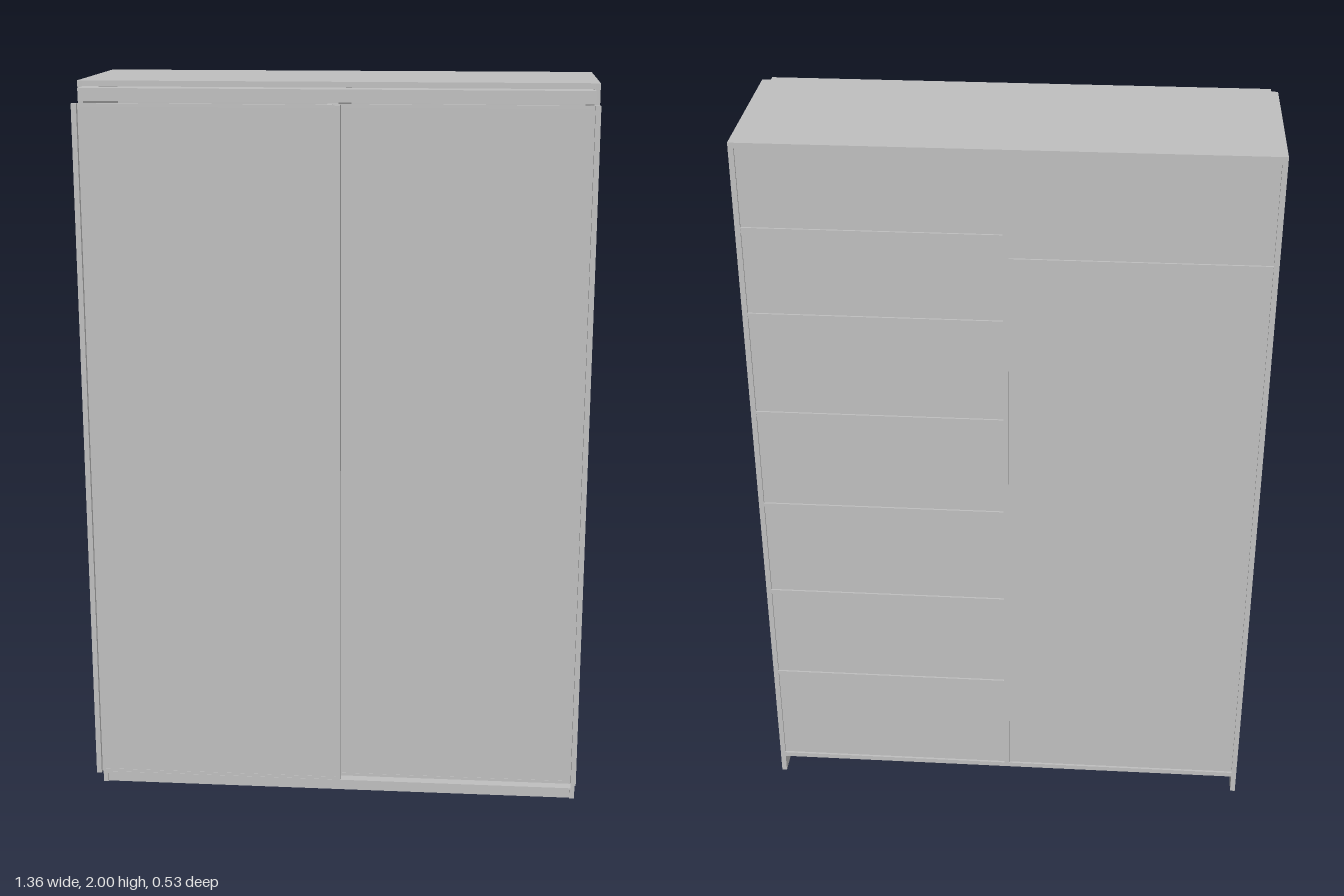
import * as THREE from 'three';

export function createModel() {
  const model = new THREE.Group();
  model.name = 'slidingDoorWardrobe';
  const grey = new THREE.MeshStandardMaterial({ color: 0xc0c0c0 });
  grey.name = 'light grey';

  // Box given by its limits along each axis
  function board(name, [x0, x1], [y0, y1], [z0, z1], parent = model) {
    const mesh = new THREE.Mesh(new THREE.BoxGeometry(x1 - x0, y1 - y0, z1 - z0), grey);
    mesh.position.set((x0 + x1) / 2, (y0 + y1) / 2, (z0 + z1) / 2);
    mesh.name = name;
    parent.add(mesh);
  }

  const W = 0.678, T = 0.014, inner = W - T;
  const back = -0.267, front = 0.184;
  const depth = [back, front], base = 0.055;

  // Carcass
  board('leftSide', [inner, W], [0, 2], depth);
  board('rightSide', [-W, -inner], [0, 2], depth);
  board('top', [-inner, inner], [2 - T, 2], depth);
  board('bottom', [-inner, inner], [base, base + T], depth);
  board('divider', [-T / 2, T / 2], [base + T, 2 - T], depth);
  board('backPanel', [-inner, inner], [base + T, 2 - T], [back + 0.006, back + 0.012]);
  board('plinth', [-inner, inner], [0, base], [front - T - 0.004, front - 0.004]);

  // Shelves: a full column on the left, one hat shelf on the right
  for (const y of [1.768, 1.529, 1.238, 0.949, 0.658, 0.369]) {
    board('shelf', [T / 2, inner], [y - T / 2, y + T / 2], [back + 0.001, front - 0.004]);
  }
  board('hatShelf', [-inner, -T / 2], [1.697, 1.697 + T], [back + 0.001, front - 0.004]);

  // Sliding tracks
  board('topTrack', [-inner, inner], [1.952, 1.985], [front, 0.246]);
  board('bottomTrack', [-inner, inner], [0.056, 0.062], [front, 0.246]);

  // Doors: thin panel between two upright grips, with slim rails
  function door(name, x0, x1, z0, z1) {
    const group = new THREE.Group();
    group.name = name;
    const low = 0.067, high = 1.947, mid = z0 + 0.01;
    board('grip', [x0, x0 + T], [low, high], [z0, z1], group);
    board('grip', [x1 - T, x1], [low, high], [z0, z1], group);
    board('doorPanel', [x0 + T, x1 - T], [low + 0.008, high - 0.008], [z0 + 0.002, mid - 0.001], group);
    board('topRail', [x0 + T, x1 - T], [high - 0.008, high], [z0 + 0.001, mid], group);
    board('bottomRail', [x0 + T, x1 - T], [low, low + 0.008], [z0 + 0.001, mid], group);
    model.add(group);
  }
  door('frontDoor', -W, 0.018, 0.245, 0.267);
  door('rearDoor', -0.018, W, 0.218, 0.241);

  return model;
}
